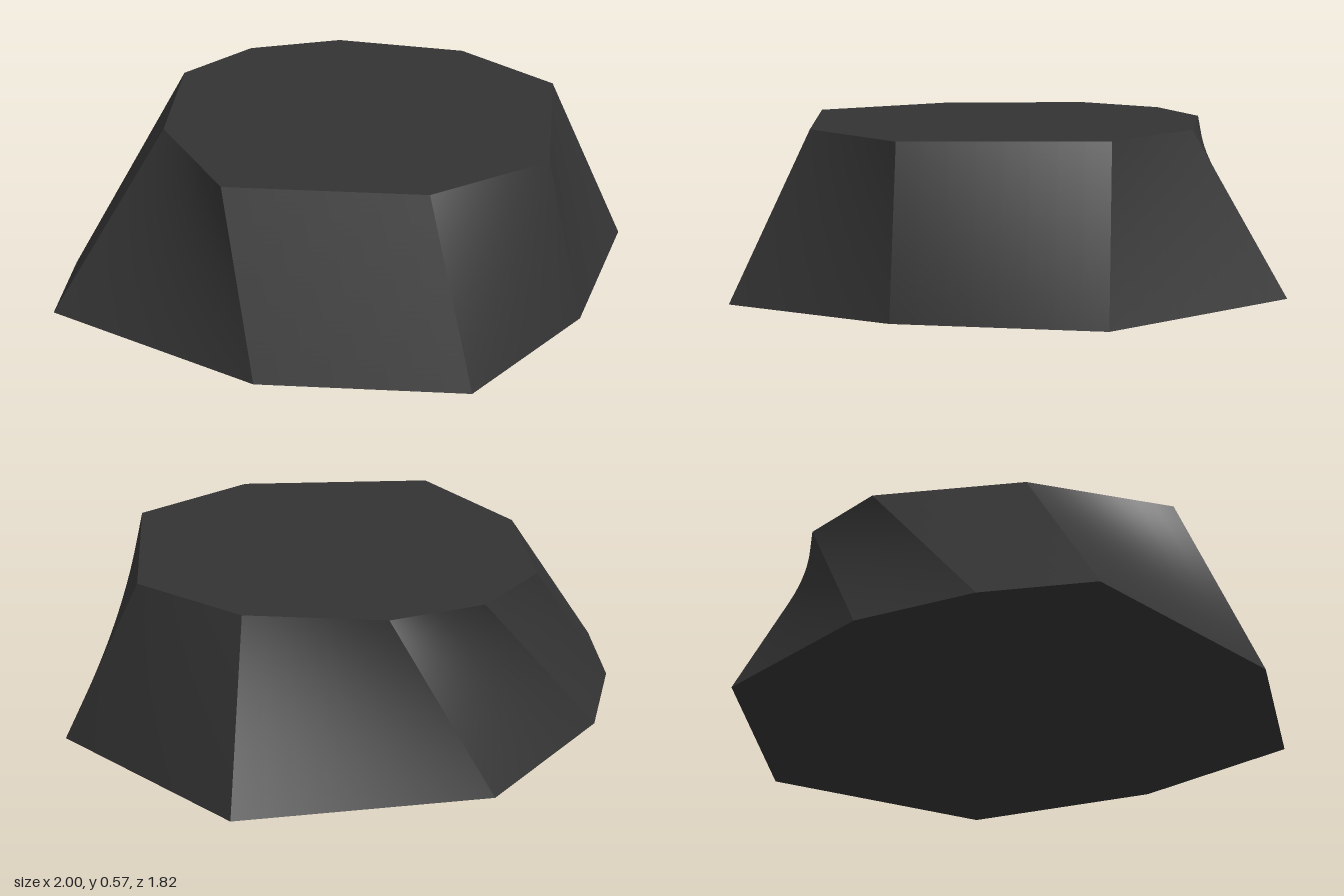
import * as THREE from 'three';
import { ParametricGeometry } from 'three/addons/geometries/ParametricGeometry.js';

const HEIGHT = 0.57;

// Matching corners of the base and top outlines, as [x, z]
const BASE = [
  [-1, -0.49], [-0.7, -0.73], [-0.3, -0.9], [0.38, -0.91], [1, -0.31],
  [0.84, 0.52], [0.21, 0.84], [-0.43, 0.91], [-0.87, 0.36],
];
const TOP = [
  [-0.55, -0.4], [-0.15, -0.735], [0.19, -0.74], [0.48, -0.56], [0.715, -0.15],
  [0.695, 0.3], [0.15, 0.73], [-0.32, 0.62], [-0.74, 0.09],
];

// Flat lid over an outline, facing up (1) or down (-1)
function cap(outline, y, facing) {
  const shape = new THREE.Shape(outline.map(([x, z]) => new THREE.Vector2(x, -facing * z)));
  return new THREE.ShapeGeometry(shape).rotateX(-facing * Math.PI / 2).translate(0, y, 0);
}

// Ruled, slightly twisted wall between two neighbouring sloping edges
function wall(i) {
  const j = (i + 1) % BASE.length;
  const mix = (k, u, v) => THREE.MathUtils.lerp(
    THREE.MathUtils.lerp(BASE[i][k], TOP[i][k], u),
    THREE.MathUtils.lerp(BASE[j][k], TOP[j][k], u), v);
  return new ParametricGeometry(
    (u, v, target) => target.set(mix(0, u, v), HEIGHT * u, mix(1, u, v)), 32, 8);
}

export function createModel() {
  const model = new THREE.Group();
  model.name = 'taperedRock';
  const material = new THREE.MeshStandardMaterial({ color: 0x333333 });
  const add = (name, geometry) => {
    const mesh = new THREE.Mesh(geometry, material);
    mesh.name = name;
    model.add(mesh);
  };

  BASE.forEach((_, i) => add(`sideWall${i + 1}`, wall(i)));
  add('topFace', cap(TOP, HEIGHT, 1));
  add('bottomFace', cap(BASE, 0, -1));
  return model;
}
